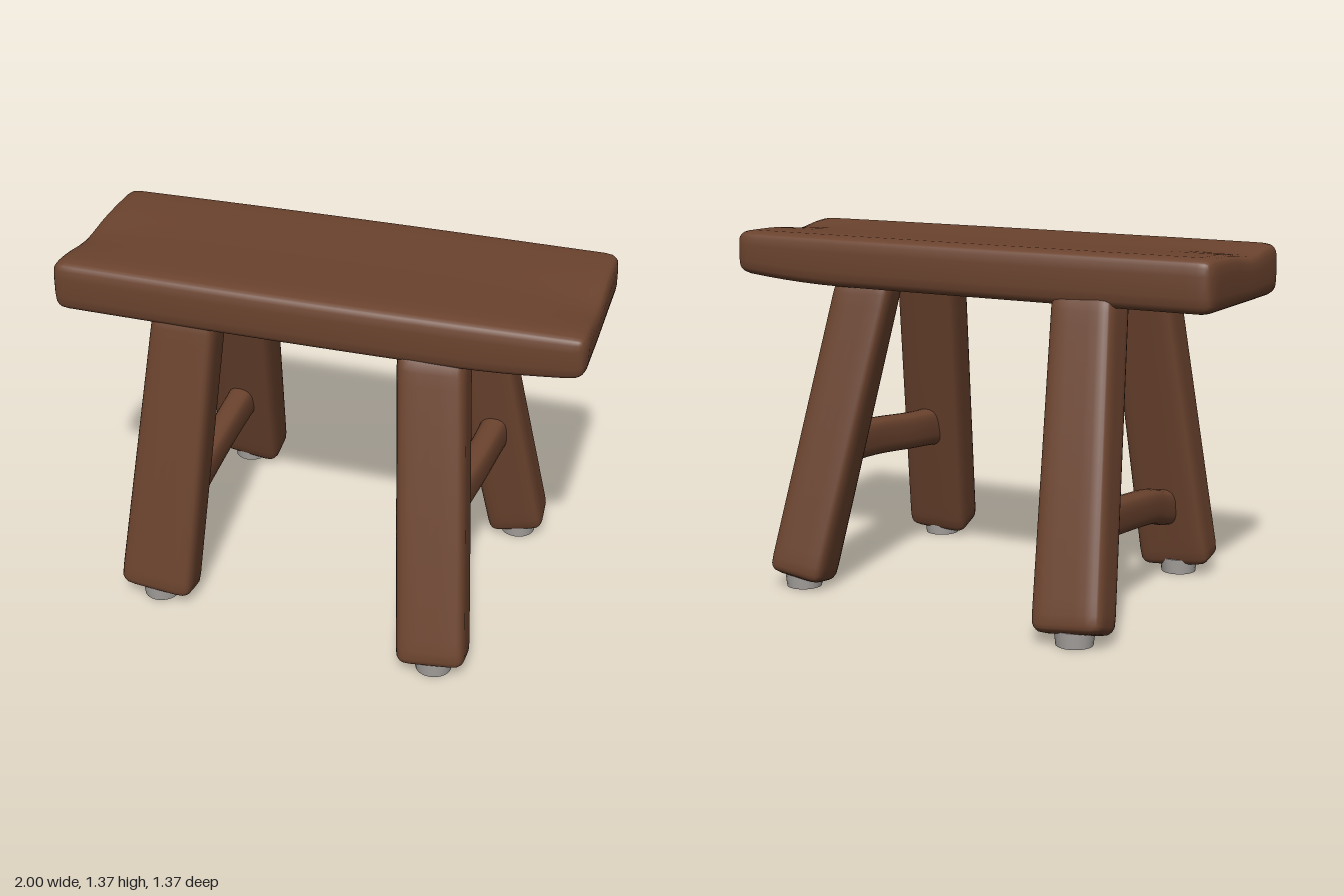
import * as THREE from 'three';
import { mergeVertices } from 'three/addons/utils/BufferGeometryUtils.js';

const { lerp, clamp } = THREE.MathUtils;

// Soft-edged block with enough segments to bend; rule(p) moves each vertex.
function softBlock(size, radius, segments, rule) {
  let geo = new THREE.BoxGeometry(2, 2, 2, ...segments);
  geo.deleteAttribute('normal');
  geo.deleteAttribute('uv');
  geo = mergeVertices(geo);
  const pos = geo.attributes.position;
  const half = size.map((s) => s / 2);
  const p = new THREE.Vector3();
  const inner = new THREE.Vector3();
  for (let i = 0; i < pos.count; i++) {
    // Crowd the grid towards the edges, then round them off
    p.fromBufferAttribute(pos, i);
    p.set(...p.toArray().map((v, k) => Math.sin((v * Math.PI) / 2) * half[k]));
    inner.set(...p.toArray().map((v, k) => clamp(v, radius - half[k], half[k] - radius)));
    p.sub(inner).setLength(radius).add(inner);
    rule(p);
    pos.setXYZ(i, p.x, p.y, p.z);
  }
  geo.computeVertexNormals();
  return geo;
}

// Thick plank, a little uneven, with hollowed ends
function seatGeometry() {
  return softBlock([2, 0.2, 0.71], 0.05, [28, 8, 16], (p) => {
    const { x, y, z } = p;
    const u = (x + 1) / 2;
    const v = y / 0.2 + 0.5;
    const bottom = lerp(1.155, 1.178, u) + 0.032 * Math.max(0, (x - 0.5) / 0.5) ** 2;
    const dent = 0.025 * x ** 6 * Math.exp(-(((z - 0.08) / 0.12) ** 2));
    const top = lerp(1.355, 1.374, u) - dent - 0.006 * Math.exp(-((z / 0.15) ** 2));
    p.y = lerp(bottom, top, v);
    p.z = z + lerp(0.03, 0.055, u) + 0.012 * Math.sin(u * Math.PI) * (z / 0.35);
    p.x = x + (x < 0 ? 0.025 : -0.008) * Math.abs(x) * (0.5 - z / 0.71);
  });
}

// Splayed, slightly tapered leg: a = foot end, b = seat end, each [x, z, width, depth]
function legGeometry(a, b, twist) {
  const H = 1.17;
  const slopeX = (a[0] - b[0]) / H;
  const slopeZ = (a[1] - b[1]) / H;
  return softBlock([0.26, H, 0.18], 0.045, [10, 20, 10], (p) => {
    const t = p.y / H + 0.5;
    const lx = (p.x / 0.26) * lerp(a[2], b[2], t);
    const lz = (p.z / 0.18) * lerp(a[3], b[3], t);
    const c = Math.cos(twist);
    const s = Math.sin(twist);
    const dx = lx * c + lz * s;
    const dz = lz * c - lx * s;
    p.x = lerp(a[0], b[0], t) + dx;
    p.z = lerp(a[1], b[1], t) + dz;
    p.y = 0.045 + t * H + (1 - t) * (slopeX * dx + slopeZ * dz);
  });
}

// Rail between a front and a back leg, following a gentle curve
function railGeometry(points, width, height) {
  const curve = new THREE.CatmullRomCurve3(points.map((q) => new THREE.Vector3(...q)));
  return softBlock([width, height, 1], width * 0.45, [8, 8, 24], (p) => {
    const t = clamp(0.5 - p.z, 0, 1);
    const flare = 1 + 0.12 * (2 * t - 1) ** 4;
    const c = curve.getPoint(t);
    p.set(c.x + p.x * flare, c.y + p.y * flare, c.z);
  });
}

export function createModel() {
  const group = new THREE.Group();
  group.name = 'woodenBench';
  const wood = new THREE.MeshStandardMaterial({ color: 0x6b432e });
  wood.name = 'brownWood';
  const pad = new THREE.MeshStandardMaterial({ color: 0xa8a4a0 });
  pad.name = 'greyPad';

  const add = (name, geometry, material) => {
    const mesh = new THREE.Mesh(geometry, material);
    mesh.name = name;
    group.add(mesh);
    return mesh;
  };

  add('seat', seatGeometry(), wood);

  // Four legs, each splayed a little differently, with a pad underneath
  const legs = [
    ['frontLeftLeg', [0.55, 0.605, 0.26, 0.175], [0.445, 0.305, 0.25, 0.19], 0.06],
    ['backLeftLeg', [0.655, -0.39, 0.22, 0.19], [0.45, -0.18, 0.24, 0.16], 0.08],
    ['frontRightLeg', [-0.59, 0.475, 0.29, 0.155], [-0.485, 0.29, 0.25, 0.18], 0],
    ['backRightLeg', [-0.59, -0.605, 0.28, 0.17], [-0.485, -0.225, 0.25, 0.19], -0.05],
  ];
  for (const [name, foot, top, twist] of legs) {
    add(name, legGeometry(foot, top, twist), wood);
    const disc = add(name + 'Pad', new THREE.CylinderGeometry(0.075, 0.068, 0.06, 20), pad);
    disc.position.set(foot[0], 0.036, foot[1] - 0.015 * Math.sign(foot[1]));
  }

  // Side rails
  add('leftRail', railGeometry([
    [0.51, 0.505, 0.46], [0.52, 0.52, 0.25], [0.55, 0.54, 0], [0.57, 0.55, -0.3],
  ], 0.1, 0.15), wood);
  add('rightRail', railGeometry([
    [-0.56, 0.28, 0.42], [-0.56, 0.295, 0.31], [-0.56, 0.325, 0.2],
    [-0.56, 0.35, 0], [-0.56, 0.372, -0.22], [-0.56, 0.39, -0.5],
  ], 0.1, 0.14), wood);

  return group;
}
